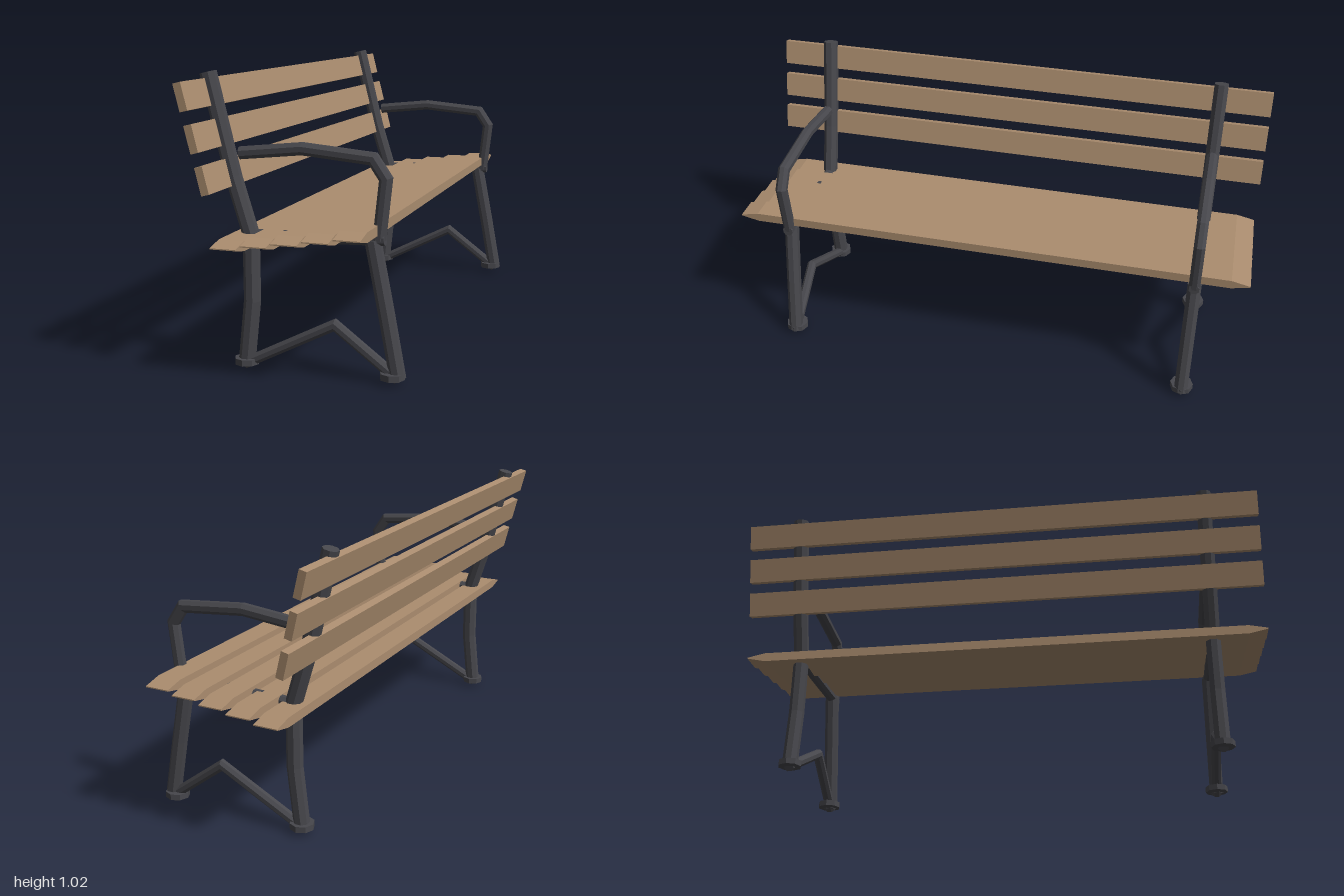
import * as THREE from 'three';

const wood = new THREE.MeshStandardMaterial({ color: 0xab8d6f, flatShading: true });
wood.name = 'wood';
const metal = new THREE.MeshStandardMaterial({ color: 0x47474c, flatShading: true });
metal.name = 'dark metal';

// Eight-sided tube with mitred bends along a path in the xy plane; r is measured to the flats
function pipe(name, path, r, sides = 8) {
  const corner = r / Math.cos(Math.PI / sides);
  const pts = path.map(([x, y]) => new THREE.Vector2(x, y));
  const dirs = pts.slice(1).map((p, i) => p.clone().sub(pts[i]).normalize());
  const rings = pts.map((p, i) => {
    const a = dirs[Math.max(i - 1, 0)];
    const b = dirs[Math.min(i, dirs.length - 1)];
    const t = a.clone().add(b).normalize();
    const stretch = corner / t.dot(a);
    return Array.from({ length: sides }, (_, k) => {
      const ang = ((k + 0.5) / sides) * Math.PI * 2;
      const c = Math.cos(ang) * stretch;
      return [p.x - t.y * c, p.y + t.x * c, Math.sin(ang) * corner];
    });
  });
  const out = [];
  const tri = (a, b, c) => out.push(...a, ...b, ...c);
  const first = rings[0], last = rings[rings.length - 1];
  for (let k = 0; k < sides; k++) {
    const n = (k + 1) % sides;
    for (let i = 0; i + 1 < rings.length; i++) {
      const [a, b] = [rings[i], rings[i + 1]];
      tri(a[k], a[n], b[n]);
      tri(a[k], b[n], b[k]);
    }
    if (k > 0 && k < sides - 1) {
      tri(first[0], first[n], first[k]);
      tri(last[0], last[k], last[n]);
    }
  }
  const g = new THREE.BufferGeometry();
  g.setAttribute('position', new THREE.Float32BufferAttribute(out, 3));
  g.computeVertexNormals();
  const mesh = new THREE.Mesh(g, metal);
  mesh.name = name;
  return mesh;
}

// One side frame: post, legs, rail, armrest, brace and feet
function sideFrame(name, z) {
  const frame = new THREE.Group();
  frame.name = name;
  frame.add(
    pipe('backPost', [[-0.333, 1.02], [-0.248, 0.67], [-0.188, 0.475]], 0.027),
    pipe('backLeg', [[-0.188, 0.475], [-0.188, 0.245], [-0.213, 0.02]], 0.027),
    pipe('frontLeg', [[0.244, 0.485], [0.29, 0.245], [0.331, 0.02]], 0.026),
    pipe('seatRail', [[-0.2, 0.473], [0.287, 0.488]], 0.019),
    pipe('armrest', [[-0.222, 0.752], [0, 0.775], [0.246, 0.752], [0.289, 0.688], [0.266, 0.485]], 0.021),
    pipe('lowerBrace', [[-0.22, 0.018], [0.11, 0.185], [0.333, 0.018]], 0.018),
  );
  for (const [label, x] of [['backFoot', -0.212], ['frontFoot', 0.312]]) {
    const foot = new THREE.Mesh(new THREE.CylinderGeometry(0.044, 0.044, 0.022, 8), metal);
    foot.name = label;
    foot.position.set(x, 0.03, 0);
    frame.add(foot);
  }
  frame.position.z = z;
  return frame;
}

export function createModel() {
  const bench = new THREE.Group();
  bench.name = 'bench';
  bench.add(sideFrame('leftFrame', 0.8), sideFrame('rightFrame', -0.8));

  // Seat slats with wedge-shaped ends, stepping up to the front edge
  const h = 0.017, tip = 0.002;
  const profile = new THREE.Shape([
    [-1, -tip], [-0.93, -h], [0.93, -h], [1, -tip],
    [1, tip], [0.93, h], [-0.93, h], [-1, tip],
  ].map(([x, y]) => new THREE.Vector2(x, y)));
  const seatGeo = new THREE.ExtrudeGeometry(profile, { depth: 0.09, bevelEnabled: false });
  seatGeo.translate(0, 0, -0.045).rotateY(Math.PI / 2);
  for (let i = 0; i < 5; i++) {
    const slat = new THREE.Mesh(seatGeo, wood);
    slat.name = `seatSlat${i + 1}`;
    slat.position.set(-0.2 + i * 0.1055, 0.465 + i * 0.014, 0);
    bench.add(slat);
  }

  // Tilted back slats behind the posts
  const backGeo = new THREE.BoxGeometry(0.028, 0.094, 2);
  for (let i = 0; i < 3; i++) {
    const slat = new THREE.Mesh(backGeo, wood);
    slat.name = `backSlat${i + 1}`;
    slat.position.set(-0.335 + i * 0.034, 0.952 - i * 0.134, 0);
    slat.rotation.z = 0.245;
    bench.add(slat);
  }
  return bench;
}
